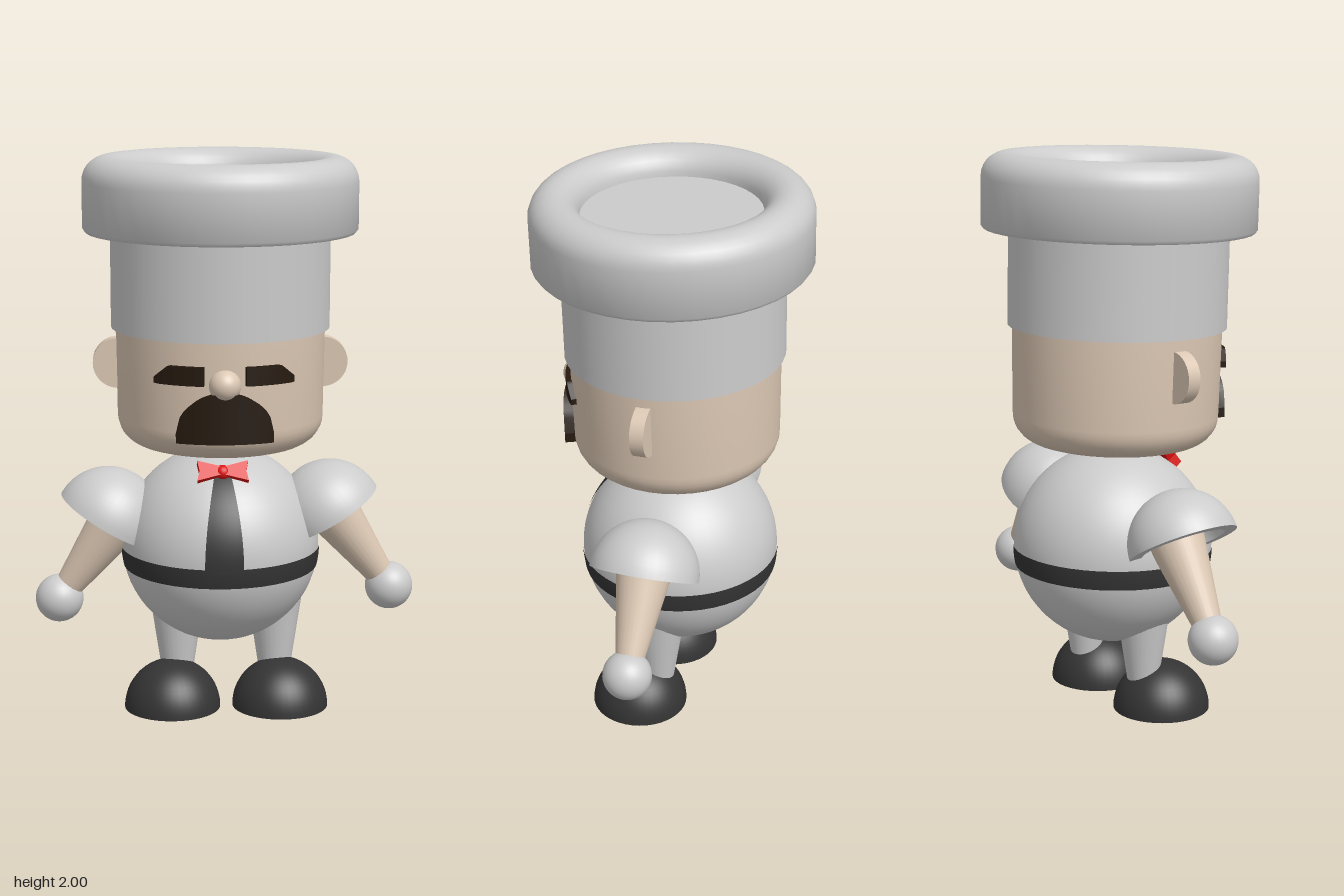
import * as THREE from 'three';
import { toCreasedNormals } from 'three/addons/utils/BufferGeometryUtils.js';

const mat = (color) => new THREE.MeshStandardMaterial({ color });
const V = (x, y, z) => new THREE.Vector3(x, y, z);

// Points of an elliptic arc for lathe profiles
function arc(cx, cy, r, from, to, n = 8) {
  return Array.from({ length: n + 1 }, (_, i) => {
    const a = from + (to - from) * i / n;
    return new THREE.Vector2(Math.max(0, cx + r * Math.cos(a)), cy + r * Math.sin(a));
  });
}

function lathe(points, segments = 40) {
  return toCreasedNormals(new THREE.LatheGeometry(points, segments), 0.9);
}

// Slab bent around the vertical axis; bottom and top are functions of t in -1..1
function bentSlab(centre, width, rIn, rOut, bottom, top) {
  const geo = new THREE.BoxGeometry(1, 1, 1, 24, 1, 1);
  const p = geo.attributes.position;
  for (let i = 0; i < p.count; i++) {
    const x = p.getX(i), t = 2 * x, a = centre + x * width;
    const r = p.getZ(i) > 0 ? rOut : rIn;
    p.setXYZ(i, r * Math.sin(a), p.getY(i) > 0 ? top(t) : bottom(t), r * Math.cos(a));
  }
  geo.computeVertexNormals();
  return geo;
}

export function createModel() {
  const model = new THREE.Group();
  const grey = mat(0xcccccc), skin = mat(0xdcc8b4), dark = mat(0x343434);
  const hair = mat(0x261a10), red = mat(0xdd1111);

  function add(parent, name, geo, material, x = 0, y = 0, z = 0) {
    const mesh = new THREE.Mesh(geo, material);
    mesh.name = name;
    mesh.position.set(x, y, z);
    parent.add(mesh);
    return mesh;
  }
  // Tapered limb between two points
  function limb(name, material, a, b, ra, rb) {
    const dir = b.clone().sub(a);
    const mid = a.clone().add(b).multiplyScalar(0.5);
    const mesh = add(model, name, new THREE.CylinderGeometry(rb, ra, dir.length(), 28), material, mid.x, mid.y, mid.z);
    mesh.quaternion.setFromUnitVectors(V(0, 1, 0), dir.normalize());
  }

  // Round body with belt and necktie, leaning slightly forward
  const body = new THREE.Group();
  body.name = 'body';
  body.position.set(-0.02, 0.593, -0.02);
  body.rotation.x = 0.02;
  model.add(body);
  add(body, 'torso', new THREE.SphereGeometry(0.357, 48, 32), grey);
  const beltTop = Math.acos(-0.005 / 0.36), beltBottom = Math.acos(-0.075 / 0.36);
  add(body, 'belt', new THREE.SphereGeometry(0.36, 48, 4, 0, Math.PI * 2, beltTop, beltBottom - beltTop), dark);

  const tie = new THREE.PlaneGeometry(1, 1, 6, 16);
  const tp = tie.attributes.position;
  for (let i = 0; i < tp.count; i++) {
    const v = tp.getY(i) + 0.5;
    const y = -0.02 + 0.33 * v;
    const x = tp.getX(i) * 2 * (0.068 - 0.042 * v * v);
    tp.setXYZ(i, x, y, Math.sqrt(0.36 ** 2 - x * x - y * y));
  }
  tie.computeVertexNormals();
  add(body, 'necktie', tie, dark);

  // Bow tie
  const bow = new THREE.Group();
  bow.name = 'bowTie';
  bow.position.set(-0.02, 0.895, 0.185);
  bow.rotation.x = -0.6;
  model.add(bow);
  for (const s of [-1, 1]) {
    const wing = new THREE.Shape([[0, -0.014], [0.09, -0.038], [0.082, 0], [0.09, 0.038], [0, 0.014]]
      .map(([x, y]) => new THREE.Vector2(x, y)));
    const geo = new THREE.ExtrudeGeometry(wing, { depth: 0.04, bevelEnabled: false });
    geo.translate(0, 0, -0.02);
    add(bow, 'bowWing', geo, red).rotation.y = s > 0 ? 0 : Math.PI;
  }
  add(bow, 'bowKnot', new THREE.SphereGeometry(0.027, 20, 14), red);

  // Head group, tilted slightly forward
  const head = new THREE.Group();
  head.name = 'head';
  head.position.set(-0.02, 0.97, -0.01);
  head.rotation.x = 0.025;
  model.add(head);
  add(head, 'face', lathe([
    new THREE.Vector2(0, 0), ...arc(0.262, 0.105, 0.105, -Math.PI / 2, 0),
    new THREE.Vector2(0.372, 0.44), new THREE.Vector2(0, 0.44)]), skin);
  add(head, 'nose', new THREE.SphereGeometry(0.055, 28, 20), skin, 0, 0.273, 0.367);
  add(head, 'moustache', bentSlab(0, 0.86, 0.34, 0.402,
    () => 0.075, (t) => 0.11 + 0.14 * Math.sqrt(Math.max(0, 1 - t * t))), hair);
  for (const s of [-1, 1]) {
    const ear = new THREE.CylinderGeometry(0.09, 0.09, 0.05, 32);
    ear.rotateX(Math.PI / 2);
    add(head, 'ear', ear, skin, s * 0.364, 0.29, -0.006);
    add(head, 'eyebrow', bentSlab(s * 0.43, 0.48, 0.33, 0.388,
      (t) => 0.273 + 0.008 * Math.max(0, s * t - 0.8),
      (t) => 0.338 - 0.07 * Math.max(0, s * t - 0.4)), hair);
  }

  // Chef hat: straight band and puffed rim with a sunken top
  add(head, 'hatBand', new THREE.CylinderGeometry(0.388, 0.388, 0.35, 40), grey, 0, 0.595, 0);
  add(head, 'hatTop', lathe([
    new THREE.Vector2(0, 0.757), new THREE.Vector2(0.475, 0.757), new THREE.Vector2(0.485, 0.77),
    ...arc(0.398, 0.933, 0.087, 0, Math.PI, 14), new THREE.Vector2(0, 0.933)]), grey);

  // Arms: hollow dome sleeve, tapered forearm and round hand
  const sleeve = lathe([
    ...arc(0, 0, 0.15, Math.PI / 2, 0, 12), ...arc(0, 0, 0.195, 0, Math.PI / 2, 14)]);
  const arms = [
    { s: -1, shoulder: V(-0.427, 0.68, -0.015), start: V(-0.37, 0.715, -0.015), hand: V(-0.607, 0.387, -0.025) },
    { s: 1, shoulder: V(0.379, 0.70, -0.015), start: V(0.36, 0.745, -0.015), hand: V(0.6, 0.42, -0.025) },
  ];
  for (const { s, shoulder, start, hand } of arms) {
    add(model, 'sleeve', sleeve, grey, ...shoulder.toArray()).rotation.z = s * 0.54;
    limb('arm', skin, hand, start, 0.042, 0.105);
    add(model, 'hand', new THREE.SphereGeometry(0.087, 28, 20), grey, ...hand.toArray());
  }

  // Legs and half-round shoes
  const shoe = lathe([new THREE.Vector2(0, 0), ...arc(0, 0, 0.174, 0, Math.PI / 2, 14)]);
  for (const s of [-1, 1]) {
    limb('leg', grey, V(s * 0.178, 0.1, 0), V(s * 0.178, 0.4, 0), 0.055, 0.1);
    add(model, 'shoe', shoe, dark, s * 0.196 - 0.002, 0, 0.068);
  }
  return model;
}
